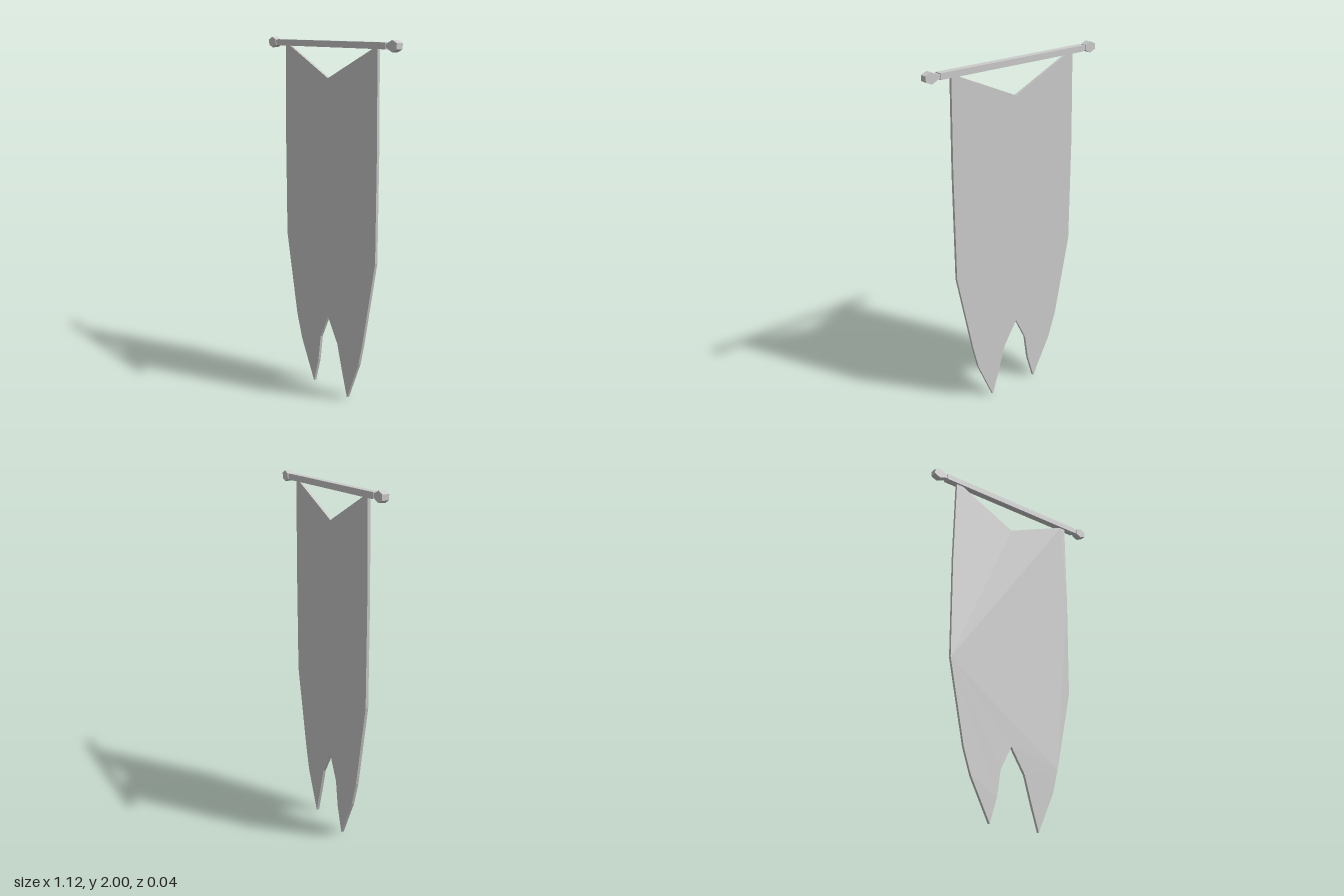
import * as THREE from 'three';

export function createModel() {
  const group = new THREE.Group();
  const material = new THREE.MeshStandardMaterial({ color: 0xcccccc, flatShading: true });
  const rodY = 1.97;

  const add = (name, geometry, x = 0, y = 0, z = 0) => {
    const mesh = new THREE.Mesh(geometry, material);
    mesh.name = name;
    mesh.position.set(x, y, z);
    group.add(mesh);
  };

  // Extrudes an outline to a given depth, centred on z = 0
  const slab = (points, depth) => {
    const shape = new THREE.Shape(points.map(([x, y]) => new THREE.Vector2(x, y)));
    return new THREE.ExtrudeGeometry(shape, { depth, bevelEnabled: false }).translate(0, 0, -depth / 2);
  };

  // Cloth with a notched top and a ragged, forked tail
  add('bannerCloth', slab([
    [-0.404, 1.957], [-0.414, 1.45], [-0.41, 0.855], [-0.314, 0.378], [-0.266, 0.235],
    [-0.147, 0.005], [-0.102, 0.15], [-0.08, 0.3], [-0.01, 0.44], [0.078, 0.3],
    [0.12, 0.156], [0.168, 0.005], [0.27, 0.235], [0.305, 0.373], [0.403, 0.84],
    [0.408, 1.45], [0.403, 1.957], [0.374, 1.957], [-0.01, 1.788], [-0.37, 1.957],
  ], 0.016));

  // Square crossbar
  add('crossbar', new THREE.BoxGeometry(0.95, 0.034, 0.039), 0, rodY);

  // Neck and hexagonal finial at each end
  const hexagon = [[0, 0.03], [-0.034, 0.015], [-0.034, -0.015], [0, -0.03], [0.034, -0.015], [0.034, 0.015]];
  for (const [side, s] of [['left', 1], ['right', -1]]) {
    add(side + 'Neck', new THREE.BoxGeometry(0.03, 0.024, 0.032), s * 0.485, rodY);
    add(side + 'Finial', slab(hexagon, 0.039), s * 0.527, rodY);
  }

  return group;
}
